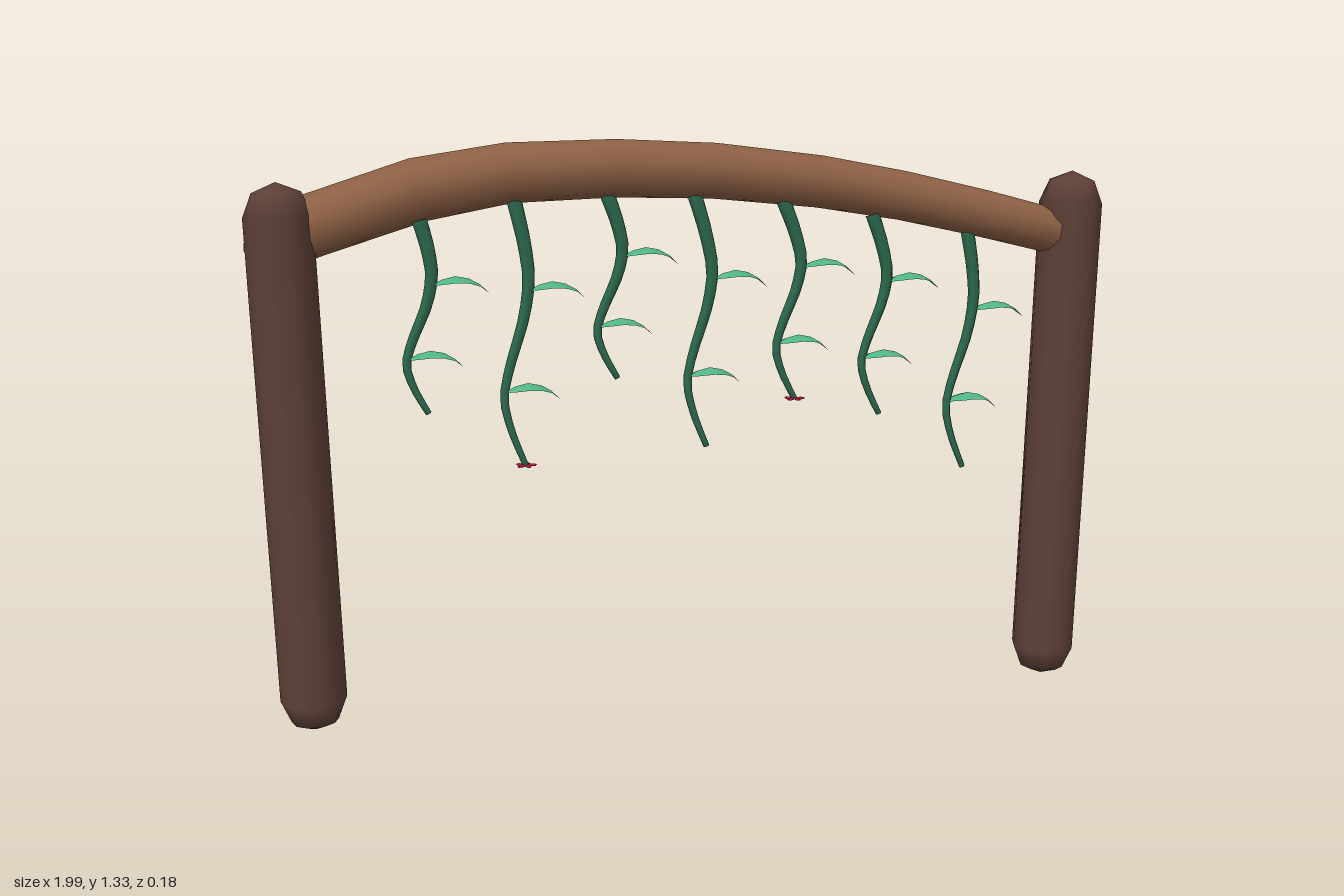
import * as THREE from 'three';

const mat = (name, color, side = THREE.FrontSide) => {
  const m = new THREE.MeshStandardMaterial({ color, side });
  m.name = name;
  return m;
};

// Tapered round sweep; each section is [x, y, z, radius]
function sweep(sections, sides) {
  const pts = sections.map(([x, y, z]) => new THREE.Vector3(x, y, z));
  const pos = [], index = [];
  pts.forEach((p, i) => {
    const t = pts[Math.min(i + 1, pts.length - 1)].clone().sub(pts[Math.max(i - 1, 0)]).normalize();
    const n = new THREE.Vector3(-t.y, t.x, 0).normalize();
    const b = t.clone().cross(n);
    for (let j = 0; j < sides; j++) {
      const a = (j / sides) * Math.PI * 2;
      const v = p.clone()
        .addScaledVector(n, Math.cos(a) * sections[i][3])
        .addScaledVector(b, Math.sin(a) * sections[i][3]);
      pos.push(v.x, v.y, v.z);
      if (i < pts.length - 1) {
        const k = (j + 1) % sides, r = i * sides, s = r + sides;
        index.push(r + j, r + k, s + j, r + k, s + k, s + j);
      }
    }
  });
  const g = new THREE.BufferGeometry();
  g.setAttribute('position', new THREE.Float32BufferAttribute(pos, 3));
  g.setIndex(index);
  g.computeVertexNormals();
  return g;
}

// Arched pointed leaf along +x, folded slightly at the midrib
function leafGeometry() {
  const ribs = [[0, 0, 0.004], [0.025, 0.013, 0.032], [0.055, 0.02, 0.043],
    [0.085, 0.014, 0.032], [0.11, 0, 0.014], [0.13, -0.02, 0.001]];
  const pos = [], index = [];
  ribs.forEach(([x, y, w], i) => {
    pos.push(x, y - w * 0.25, w, x, y, 0, x, y - w * 0.25, -w);
    if (i < ribs.length - 1) {
      for (let j = 0; j < 2; j++) {
        const a = i * 3 + j;
        index.push(a, a + 3, a + 1, a + 1, a + 3, a + 4);
      }
    }
  });
  const g = new THREE.BufferGeometry();
  g.setAttribute('position', new THREE.Float32BufferAttribute(pos, 3));
  g.setIndex(index);
  g.computeVertexNormals();
  return g;
}

export function createModel() {
  const model = new THREE.Group();
  model.name = 'vineArch';
  const postMat = mat('dark bark', 0x5d4037);
  const beamMat = mat('warm wood', 0x8d6045);
  const stemMat = mat('vine green', 0x2d6a4f);
  const leafMat = mat('leaf green', 0x52b788, THREE.DoubleSide);
  const flowerMat = mat('flower crimson', 0xc9184a, THREE.DoubleSide);
  const add = (parent, name, geo, material) => {
    const m = new THREE.Mesh(geo, material);
    m.name = name;
    parent.add(m);
    return m;
  };

  // Leaning round-ended posts
  const postGeo = new THREE.CapsuleGeometry(0.075, 1.1, 2, 10);
  for (const [name, x, z, lean] of [['rightPost', -0.908, 0.017, 0.028], ['leftPost', 0.906, 0.012, -0.024]]) {
    const post = add(model, name, postGeo, postMat);
    post.position.set(x, 0.633, z);
    post.rotation.z = lean;
  }

  // Bowed beam, thicker at one end, with domed ends
  add(model, 'beam', sweep([
    [-1.0, 1.105, -0.03, 0], [-0.982, 1.111, -0.029, 0.042], [-0.92, 1.134, -0.025, 0.07],
    [-0.85, 1.16, -0.018, 0.07], [-0.62, 1.235, -0.003, 0.071], [-0.42, 1.27, 0.01, 0.067],
    [-0.18, 1.277, 0.008, 0.065], [0.05, 1.268, 0.002, 0.063], [0.3, 1.24, 0, 0.06],
    [0.5, 1.205, 0.006, 0.057], [0.7, 1.16, 0.014, 0.055], [0.87, 1.117, 0.02, 0.053],
    [0.905, 1.108, 0.02, 0.036], [0.92, 1.104, 0.02, 0],
  ], 10), beamMat);

  // Hanging vines: [top x, top y, tip y, sideways drift, has flower]
  const vines = [
    [-0.62, 1.17, 0.735, -0.012], [-0.41, 1.21, 0.605, -0.005, true], [-0.2, 1.22, 0.8, 0],
    [0, 1.22, 0.63, 0.01], [0.21, 1.2, 0.735, 0.012, true], [0.425, 1.165, 0.69, 0.006],
    [0.66, 1.125, 0.55, -0.014],
  ];
  const sway = new THREE.CatmullRomCurve3(
    [[0, 0], [0.15, 0.022], [0.3, 0.034], [0.45, 0.02], [0.6, -0.008], [0.74, -0.026], [0.87, -0.01], [1, 0.02]]
      .map(([t, x]) => new THREE.Vector3(x, t, 0)));
  const leafGeo = leafGeometry();
  const petalGeo = new THREE.SphereGeometry(0.008, 6, 4);
  petalGeo.scale(1.5, 0.4, 0.8);

  vines.forEach(([x0, top, tip, drift, flower], i) => {
    const vine = new THREE.Group();
    vine.name = 'vine' + (i + 1);
    model.add(vine);
    const at = (u) => {
      const p = sway.getPoint(u);
      return [x0 + p.x + drift * Math.min(1, p.y * 3), top + (tip - top) * p.y, 0.012];
    };
    const sections = [];
    for (let k = 0; k <= 16; k++) sections.push([...at(k / 16), 0.017 - 0.01 * (k / 16)]);
    sections.push([...at(1), 0]);
    add(vine, 'stem', sweep(sections, 6), stemMat);

    // Two leaves on each stem
    for (const [u, size] of [[0.32, 1], [0.69, 0.97]]) {
      const leaf = add(vine, 'leaf', leafGeo, leafMat);
      leaf.position.set(...at(u));
      leaf.scale.setScalar(size);
    }

    // Small five-petalled flower at the tip
    if (flower) {
      const bloom = new THREE.Group();
      bloom.name = 'flower';
      bloom.position.set(...at(1));
      vine.add(bloom);
      for (let k = 0; k < 5; k++) {
        const a = (k / 5) * Math.PI * 2;
        const petal = add(bloom, 'petal', petalGeo, flowerMat);
        petal.position.set(Math.cos(a) * 0.014, 0, Math.sin(a) * 0.014);
        petal.rotation.y = -a;
      }
    }
  });
  return model;
}
